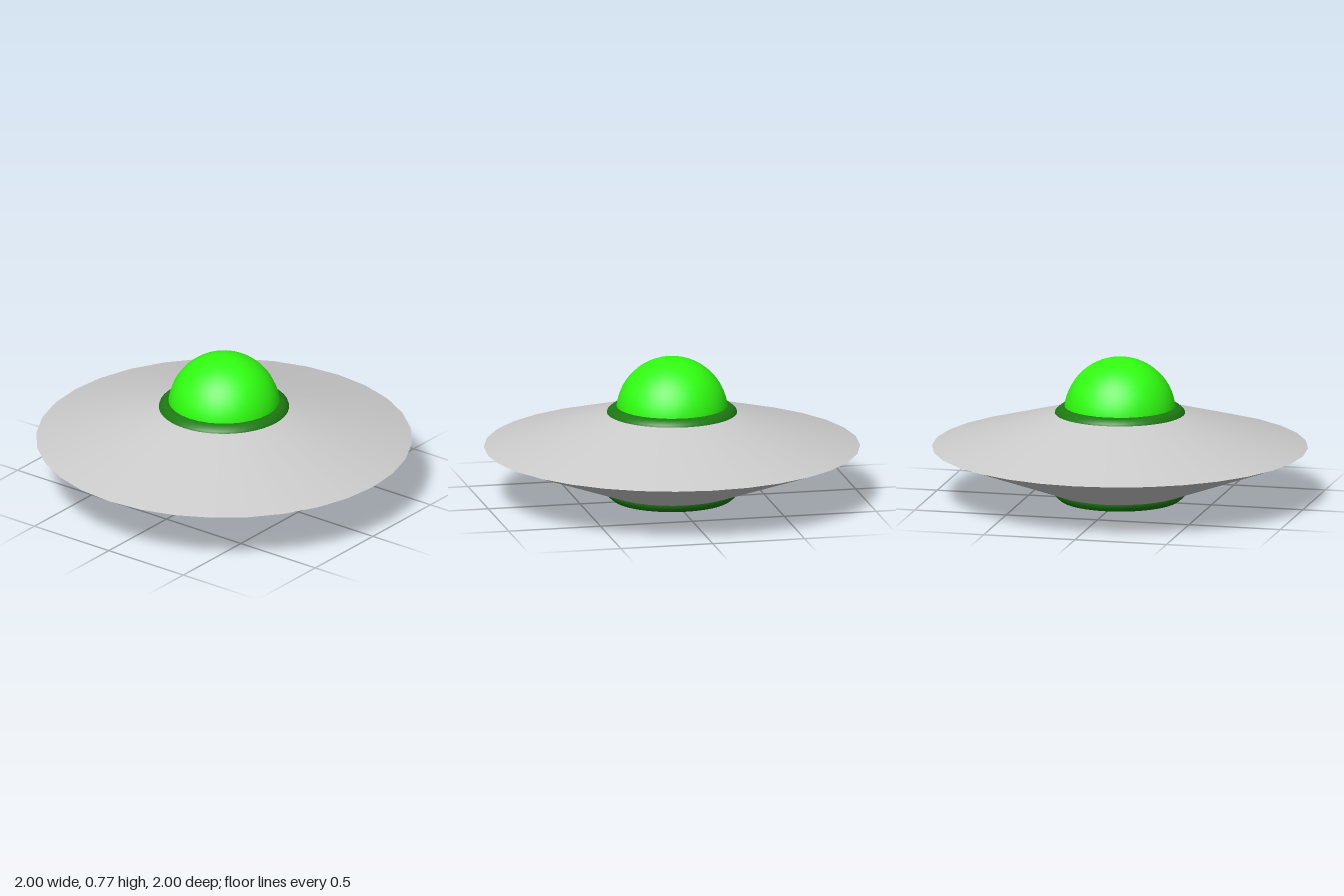
import * as THREE from 'three';

const SIDES = 32;
const RIM_Y = 0.29;
const NECK_R = 0.35;

function part(name, geometry, material, y) {
  const mesh = new THREE.Mesh(geometry, material);
  mesh.name = name;
  mesh.position.y = y;
  return mesh;
}

// One conical half of the hull, open at the rim and capped at the neck
function hullHalf(name, neckY, material) {
  const up = neckY > RIM_Y;
  const height = Math.abs(neckY - RIM_Y);
  const half = new THREE.Group();
  half.name = name;
  const cone = new THREE.CylinderGeometry(up ? NECK_R : 1, up ? 1 : NECK_R, height, SIDES, 1, true);
  const cap = new THREE.CircleGeometry(NECK_R, SIDES).rotateX(up ? -Math.PI / 2 : Math.PI / 2);
  half.add(
    part(name + 'Slope', cone, material, (neckY + RIM_Y) / 2),
    part(name + 'Cap', cap, material, neckY)
  );
  return half;
}

export function createModel() {
  const grey = new THREE.MeshStandardMaterial({ color: 0xcccccc });
  const darkGreen = new THREE.MeshStandardMaterial({ color: 0x1d7a12 });
  const brightGreen = new THREE.MeshStandardMaterial({ color: 0x30ff10 });

  const saucer = new THREE.Group();
  saucer.name = 'saucer';

  // Hull with a sharp rim
  saucer.add(hullHalf('upperHull', 0.477, grey), hullHalf('lowerHull', 0.05, grey));

  // Slightly flattened rings around the dome and under the hull
  const ring = new THREE.TorusGeometry(0.286, 0.066, 12, 48).rotateX(Math.PI / 2).scale(1, 0.83, 1);
  saucer.add(part('domeRing', ring, darkGreen, 0.46), part('baseRing', ring, darkGreen, 0.055));

  // Cockpit dome
  const dome = new THREE.SphereGeometry(0.298, SIDES, 16, 0, Math.PI * 2, 0, Math.PI / 2);
  saucer.add(part('dome', dome, brightGreen, 0.477));

  return saucer;
}
